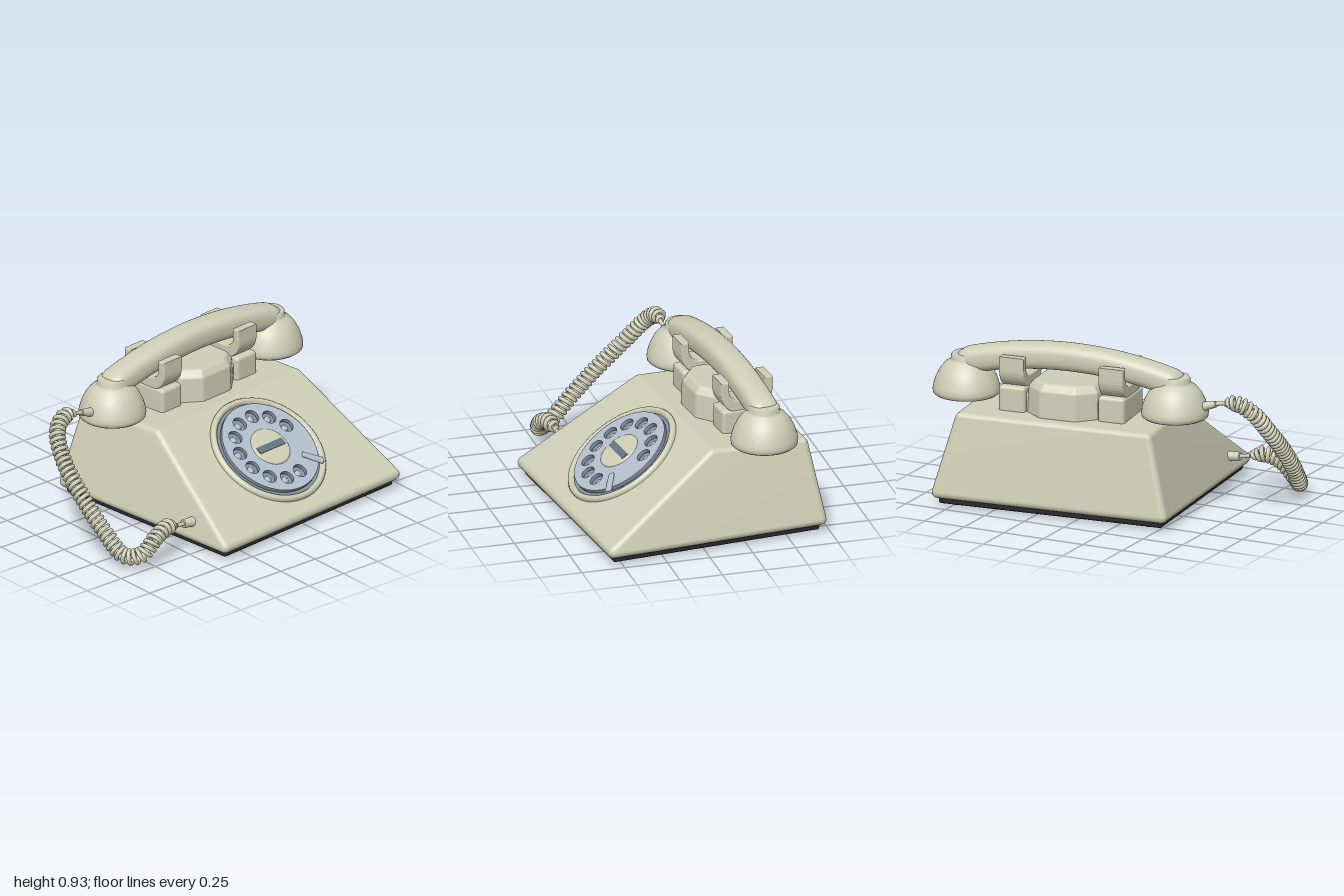
import * as THREE from 'three';
import { mergeVertices } from 'three/addons/utils/BufferGeometryUtils.js';
import { ConvexGeometry } from 'three/addons/geometries/ConvexGeometry.js';

const V = (x, y, z) => new THREE.Vector3(x, y, z);
const mat = (name, color) => {
  const m = new THREE.MeshStandardMaterial({ color });
  m.name = name;
  return m;
};

// Weld the vertices so the normals run smoothly over rounded edges
function smooth(g) {
  g.deleteAttribute('normal');
  if (g.attributes.uv) g.deleteAttribute('uv');
  const out = mergeVertices(g, 1e-4);
  out.computeVertexNormals();
  return out;
}

// Rounded solid: the hull of a small ball at every corner
function roundedHull(corners, r) {
  const ball = new THREE.SphereGeometry(r, 16, 12).attributes.position;
  const pts = [];
  for (const c of corners)
    for (let i = 0; i < ball.count; i++) pts.push(V().fromBufferAttribute(ball, i).add(c));
  return smooth(new ConvexGeometry(pts));
}

const boxCorners = (hx, y0, y1, hz, z = 0, x = 0) => {
  const out = [];
  for (const sx of [-1, 1]) for (const y of [y0, y1]) for (const sz of [-1, 1]) out.push(V(x + sx * hx, y, z + sz * hz));
  return out;
};

const lathe = (pts, seg = 48) => new THREE.LatheGeometry(pts.map(p => new THREE.Vector2(...p)), seg);

// Cylinder or cone between two points
function rod(a, b, ra, rb) {
  const d = b.clone().sub(a);
  const g = new THREE.CylinderGeometry(rb, ra, d.length(), 16);
  g.applyQuaternion(new THREE.Quaternion().setFromUnitVectors(V(0, 1, 0), d.normalize()));
  return g.translate((a.x + b.x) / 2, (a.y + b.y) / 2, (a.z + b.z) / 2);
}

export function createModel() {
  const cream = mat('cream plastic', 0xcfceb6);
  const black = mat('black base', 0x29282d);
  const metal = mat('dial metal', 0xb3bfcb);
  const steel = mat('dark dial metal', 0x84919f);
  const label = mat('label', 0x647482);

  const root = new THREE.Group();
  root.name = 'telephone';
  const phone = new THREE.Group();
  phone.name = 'phone';
  phone.position.set(0.215, 0, -0.005);
  phone.rotation.y = 0.1;
  root.add(phone);
  const add = (parent, name, geometry, material) => {
    const m = new THREE.Mesh(geometry, material);
    m.name = name;
    parent.add(m);
    return m;
  };

  // Wedge-shaped housing
  const corners = [];
  for (const s of [-1, 1])
    corners.push(V(s * 0.675, 0.08, 0.625), V(s * 0.675, 0.08, -0.625), V(s * 0.55, 0.525, -0.02), V(s * 0.56, 0.507, -0.56));
  add(phone, 'housing', roundedHull(corners, 0.035), cream);

  // Base plate and feet
  add(phone, 'basePlate', roundedHull(boxCorners(0.66, 0.027, 0.045, 0.61), 0.015), black);
  for (const x of [-0.58, 0.58])
    for (const z of [-0.53, 0.53])
      add(phone, 'foot', new THREE.CylinderGeometry(0.055, 0.05, 0.016, 24), black).position.set(x, 0.008, z);

  // Dial, built facing +z and tilted onto the slope
  const dial = new THREE.Group();
  dial.name = 'dial';
  dial.position.set(0, 0.347, 0.3);
  dial.rotation.x = -0.967;
  phone.add(dial);
  const turned = pts => lathe(pts, 64).rotateX(Math.PI / 2);
  add(dial, 'dialBezel', turned([[0.355, -0.03], [0.355, 0.008], [0.347, 0.021], [0.334, 0.026], [0.322, 0.02], [0.314, 0]]), cream);
  add(dial, 'dialDish', new THREE.CircleGeometry(0.32, 64), steel).position.z = 0.005;

  const wheel = new THREE.Shape().absarc(0, 0, 0.295, 0, Math.PI * 2);
  const holes = [];
  for (let i = 0; i < 10; i++) {
    const a = THREE.MathUtils.degToRad(22 + 29.6 * i);
    holes.push([Math.cos(a) * 0.214, Math.sin(a) * 0.214]);
  }
  for (const [x, y] of holes) wheel.holes.push(new THREE.Path().absarc(x, y, 0.044, 0, Math.PI * 2, true));
  const wheelGeo = new THREE.ExtrudeGeometry(wheel, {
    depth: 0.016, curveSegments: 32, bevelThickness: 0.005, bevelSize: 0.004, bevelSegments: 2,
  });
  // Face in bright metal, edges in dark metal
  add(dial, 'fingerWheel', wheelGeo, [metal, steel]).position.z = 0.014;
  for (const [x, y] of holes) {
    const dot = add(dial, 'holeStud', new THREE.SphereGeometry(0.02, 16, 8), metal);
    dot.position.set(x, y, 0.005);
    dot.scale.z = 0.5;
  }
  add(dial, 'dialCentre', turned([[0.122, 0.03], [0.12, 0.039], [0.11, 0.043], [0, 0.043]]), cream);
  add(dial, 'dialLabel', new THREE.BoxGeometry(0.2, 0.042, 0.006), label).position.z = 0.044;

  // Finger stop
  const stop = new THREE.Group();
  stop.name = 'fingerStop';
  stop.rotation.z = THREE.MathUtils.degToRad(-39);
  dial.add(stop);
  add(stop, 'fingerStopBar', roundedHull([V(0.2, -0.008, 0.044), V(0.2, 0.008, 0.044), V(0.318, -0.012, 0.036), V(0.318, 0.012, 0.036)], 0.009), metal);

  // Cradle
  const cz = -0.305;
  const block = [];
  for (const sx of [-1, 1])
    for (const sz of [-1, 1])
      for (const [y, k] of [[0.55, 1], [0.69, 0.97], [0.715, 0.88]])
        block.push(V(sx * 0.1 * k, y, cz + sz * 0.185 * k), V(sx * 0.19 * k, y, cz + sz * 0.11 * k));
  add(phone, 'cradleBlock', roundedHull(block, 0.025), cream);
  add(phone, 'cradleBar', roundedHull(boxCorners(0.27, 0.55, 0.635, 0.1, cz), 0.02), cream);

  const fork = new THREE.Shape();
  fork.moveTo(-0.147, 0.852);
  fork.lineTo(-0.147, 0.79);
  fork.bezierCurveTo(-0.147, 0.72, -0.1, 0.69, -0.06, 0.675);
  fork.lineTo(0.06, 0.675);
  fork.bezierCurveTo(0.1, 0.69, 0.147, 0.72, 0.147, 0.79);
  fork.lineTo(0.147, 0.852);
  fork.lineTo(0.115, 0.852);
  fork.lineTo(0.115, 0.8);
  fork.bezierCurveTo(0.115, 0.76, 0.08, 0.74, 0.05, 0.735);
  fork.lineTo(-0.05, 0.735);
  fork.bezierCurveTo(-0.08, 0.74, -0.115, 0.76, -0.115, 0.8);
  fork.lineTo(-0.115, 0.852);
  const forkGeo = new THREE.ExtrudeGeometry(fork, {
    depth: 0.132, bevelThickness: 0.008, bevelSize: 0.008, bevelSegments: 3, curveSegments: 10,
  }).translate(0, 0, -0.066).rotateY(Math.PI / 2);
  for (const s of [-1, 1]) {
    add(phone, 'cradlePost', roundedHull(boxCorners(0.06, 0.55, 0.67, 0.13, cz, s * 0.3), 0.02), cream);
    add(phone, 'cradleFork', forkGeo, cream).position.set(s * 0.3, 0, cz);
  }

  // Handset handle: a cylinder given a squarish section and bent into an arc
  const handle = new THREE.CylinderGeometry(1, 1, 1.37, 32, 60).rotateZ(Math.PI / 2);
  const p = handle.attributes.position;
  const square = t => Math.sign(t) * Math.abs(t) ** 0.75;
  for (let i = 0; i < p.count; i++) {
    const x = p.getX(i);
    const e = Math.max(0, (Math.abs(x) - 0.62) / 0.08);
    const k = Math.sqrt(1 - e * e);
    p.setXYZ(i, x, 0.857 - 0.1 * (x / 0.68) ** 2 + square(p.getY(i)) * 0.077 * k, cz + square(p.getZ(i)) * 0.084 * k);
  }
  add(phone, 'handsetHandle', smooth(handle), cream);

  // Bell-shaped ear and mouth pieces
  const bell = lathe([[0, 0.6], [0.145, 0.6], [0.158, 0.582], [0.175, 0.576], [0.188, 0.586], [0.191, 0.605], [0.187, 0.63],
    [0.173, 0.675], [0.15, 0.72], [0.122, 0.755], [0.094, 0.772], [0.087, 0.782], [0.086, 0.805], [0.078, 0.815], [0, 0.817]]);
  add(phone, 'earpiece', bell, cream).position.set(0.63, 0, cz);
  add(phone, 'mouthpiece', bell, cream).position.set(-0.63, 0, cz);

  // Coiled cord
  const path = new THREE.CatmullRomCurve3([
    V(-0.74, 0.69, -0.215), V(-0.82, 0.695, -0.215), V(-0.9, 0.64, -0.18), V(-0.947, 0.5, -0.06), V(-0.952, 0.35, 0.1),
    V(-0.935, 0.2, 0.26), V(-0.895, 0.075, 0.4), V(-0.83, 0.085, 0.47), V(-0.74, 0.16, 0.482), V(-0.65, 0.195, 0.465), V(-0.56, 0.178, 0.447),
  ]);
  const turns = 46, steps = turns * 14;
  const frames = path.computeFrenetFrames(steps, false);
  const coil = [];
  for (let i = 0; i <= steps; i++) {
    const t = i / steps, a = t * turns * Math.PI * 2;
    const r = 0.037 * Math.min(1, 0.2 + 18 * Math.min(t, 1 - t));
    coil.push(path.getPointAt(t)
      .addScaledVector(frames.normals[i], Math.cos(a) * r)
      .addScaledVector(frames.binormals[i], Math.sin(a) * r));
  }
  add(root, 'coiledCord', new THREE.TubeGeometry(new THREE.CatmullRomCurve3(coil), steps, 0.0125, 7), cream);

  // Cord sleeves at the handset and the housing
  add(root, 'handsetSleeve', rod(V(-0.6, 0.65, -0.23), V(-0.69, 0.678, -0.222), 0.028, 0.018), cream);
  add(root, 'handsetCordEnd', rod(V(-0.68, 0.675, -0.222), V(-0.75, 0.692, -0.215), 0.012, 0.012), cream);
  add(root, 'housingSleeve', rod(V(-0.4, 0.158, 0.44), V(-0.5, 0.168, 0.442), 0.03, 0.024), cream);
  add(root, 'housingCordEnd', rod(V(-0.49, 0.167, 0.442), V(-0.56, 0.178, 0.447), 0.012, 0.012), cream);

  return root;
}
